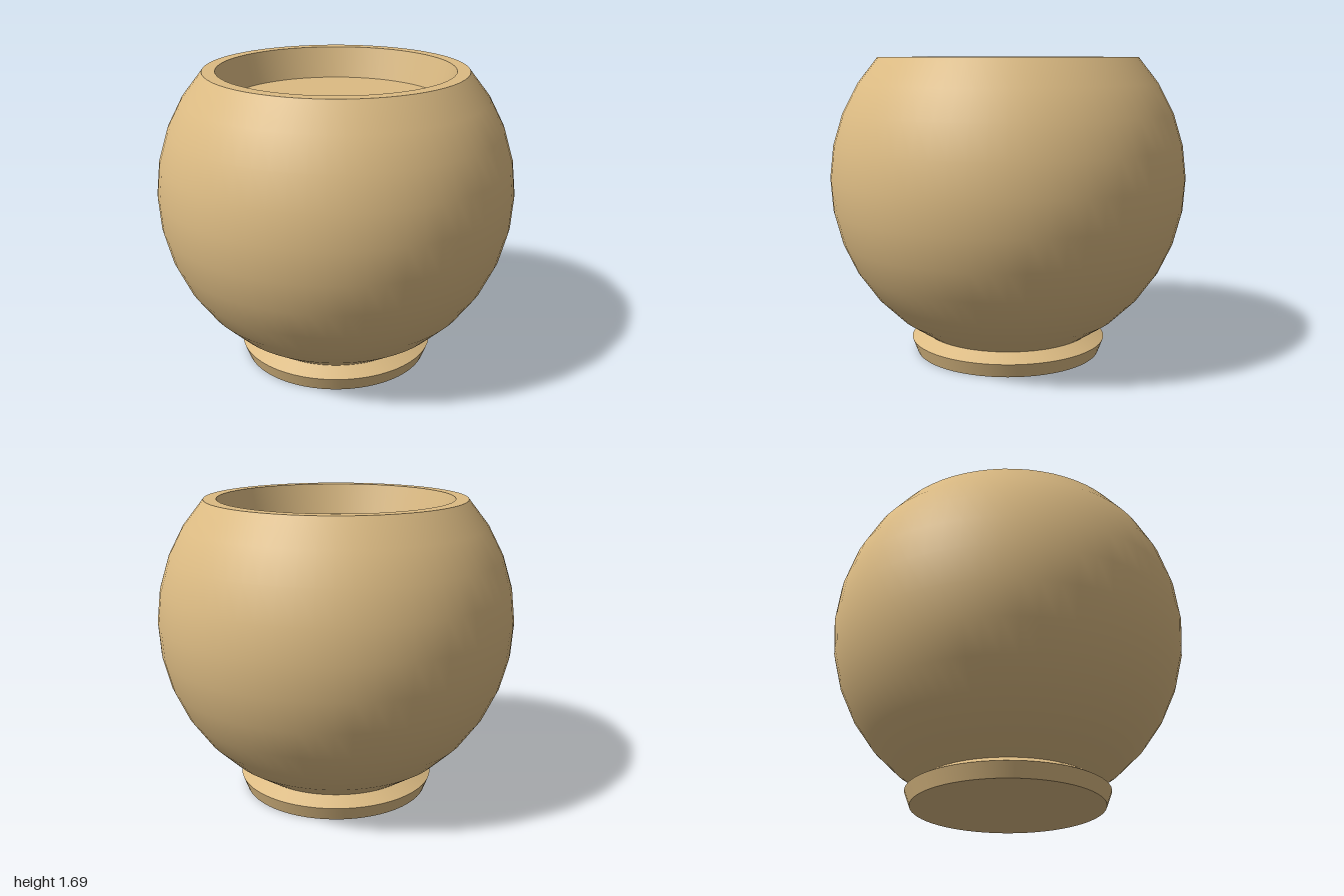
import * as THREE from 'three';

const SEGMENTS = 64;

export function createModel() {
  const model = new THREE.Group();
  model.name = 'roundBowl';
  const clay = new THREE.MeshStandardMaterial({ color: 0xdcbb83 });
  clay.name = 'tan clay';

  // Each surface is its own lathe, so edges between them stay sharp
  const turn = (name, profile, parent) => {
    const points = profile.map(([r, y]) => new THREE.Vector2(r, y));
    const mesh = new THREE.Mesh(new THREE.LatheGeometry(points, SEGMENTS), clay);
    mesh.name = name;
    parent.add(mesh);
  };

  // Foot ring, from the underside up to the neck
  const foot = new THREE.Group();
  foot.name = 'foot';
  model.add(foot);
  turn('footUnderside', [[0, 0], [0.53, 0]], foot);
  turn('footSide', [[0.53, 0], [0.56, 0.08]], foot);
  turn('footBevel', [[0.56, 0.08], [0.478, 0.125]], foot);

  // Body: part of a unit sphere, cut at foot and rim
  const body = [];
  const from = -61.4, to = 43.4, steps = 10;
  for (let i = 0; i <= steps; i++) {
    const a = THREE.MathUtils.degToRad(from + ((to - from) * i) / steps);
    body.push([Math.cos(a), 1 + Math.sin(a)]);
  }
  turn('body', body, model);

  // Flat rim and shallow tapered recess
  const rimY = body[steps][1], floorY = 1.51;
  turn('rim', [body[steps], [0.655, rimY]], model);
  turn('recessWall', [[0.655, rimY], [0.605, floorY]], model);
  turn('recessFloor', [[0.605, floorY], [0, floorY]], model);

  return model;
}
